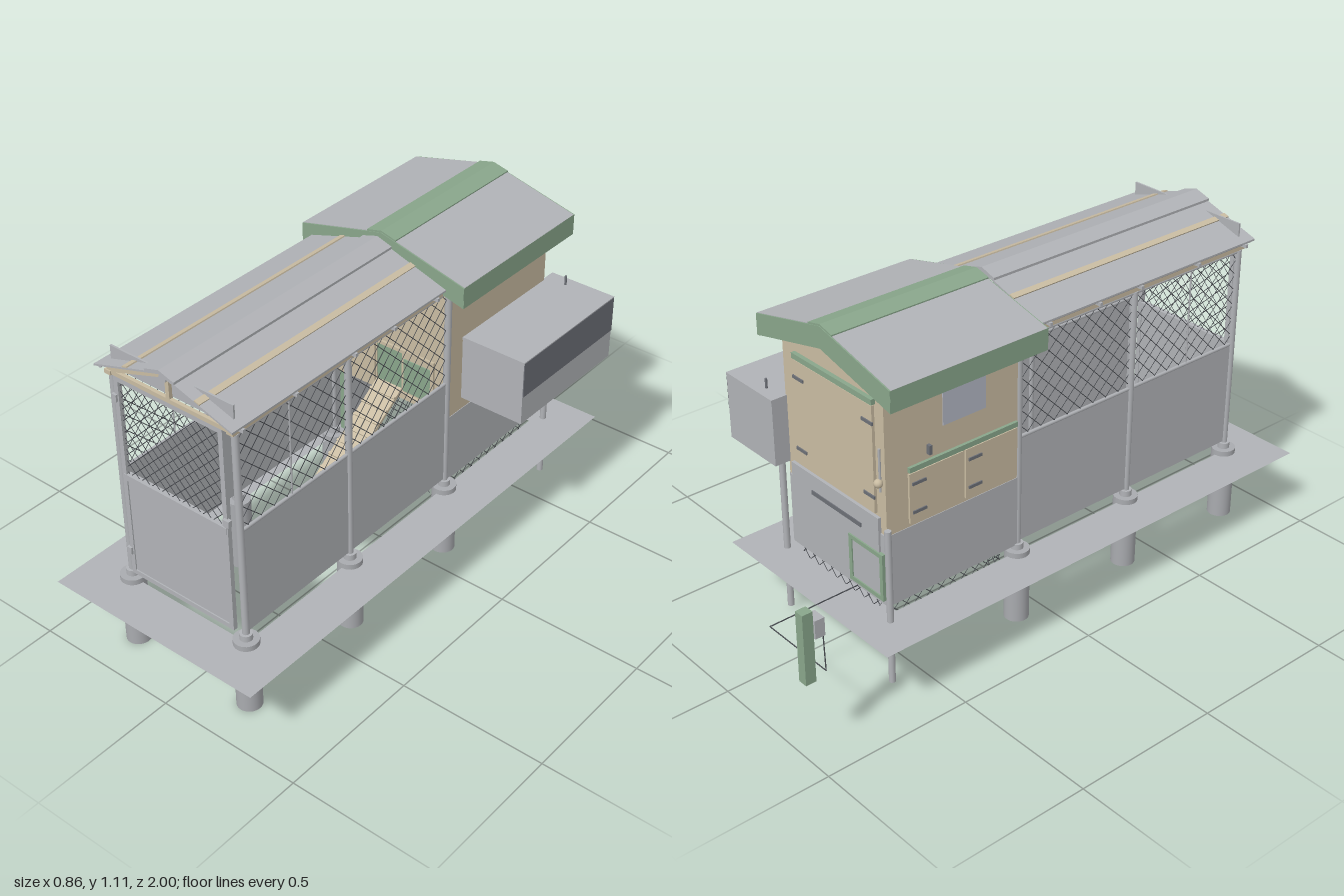
import * as THREE from 'three';
import { mergeGeometries } from 'three/addons/utils/BufferGeometryUtils.js';

const flat = (name, color) => {
  const m = new THREE.MeshStandardMaterial({ color, side: THREE.DoubleSide });
  m.name = name;
  return m;
};

export function createModel() {
  const model = new THREE.Group();
  model.name = 'chickenCoop';
  const grey = flat('galvanisedGrey', 0xb1b3b7), concrete = flat('concreteGrey', 0xa9abaf);
  const green = flat('sageGreen', 0x89a68b), wood = flat('paleWood', 0xc9bca2);
  const dark = flat('darkGrey', 0x6d7077), wire = flat('wireGrey', 0x4a4d52);
  const glass = flat('windowGrey', 0xb3b7c4);
  const C = -0.04, L = -0.27, R = 0.19; // centre line and side walls

  const add = (name, geo, mat, parent = model) => {
    const m = new THREE.Mesh(geo, mat);
    m.name = name;
    parent.add(m);
    return m;
  };
  const box = (name, mat, x0, x1, y0, y1, z0, z1) =>
    add(name, new THREE.BoxGeometry(x1 - x0, y1 - y0, z1 - z0)
      .translate((x0 + x1) / 2, (y0 + y1) / 2, (z0 + z1) / 2), mat);
  const barGeo = (a, b, r, sides = 10) => {
    const p = new THREE.Vector3(...a), d = new THREE.Vector3(...b).sub(p);
    const g = new THREE.CylinderGeometry(r, r, d.length(), sides);
    g.applyQuaternion(new THREE.Quaternion().setFromUnitVectors(new THREE.Vector3(0, 1, 0), d.clone().normalize()));
    return g.translate(p.x + d.x / 2, p.y + d.y / 2, p.z + d.z / 2);
  };
  const bar = (name, mat, a, b, r, sides) => add(name, barGeo(a, b, r, sides), mat);

  // diamond wire netting, clipped to a rectangle; place(u, v) gives the 3D point
  const netting = (name, u0, u1, v0, v1, step, place) => {
    const parts = [], w = u1 - u0, h = v1 - v0;
    for (let c = step / 2 - h; c < w; c += step) {
      const s = Math.max(c, 0), e = Math.min(c + h, w);
      if (e - s < 0.004) continue;
      for (const flip of [false, true]) {
        const u = (t) => (flip ? u1 - t : u0 + t);
        parts.push(barGeo(place(u(s), v0 + s - c), place(u(e), v0 + e - c), 0.0012, 4));
      }
    }
    add(name, mergeGeometries(parts), wire);
  };
  const atX = (x) => (u, v) => [x, v, u];
  const atZ = (z) => (u, v) => [u, v, z];

  // gabled band (constant vertical thickness) extruded along z
  const gable = (name, mat, cx, half, apex, eave, thick, z0, z1) => {
    const s = new THREE.Shape([[-half, eave], [0, apex], [half, eave], [half, eave - thick],
      [0, apex - thick], [-half, eave - thick]].map(([x, y]) => new THREE.Vector2(cx + x, y)));
    add(name, new THREE.ExtrudeGeometry(s, { depth: z1 - z0, bevelEnabled: false }).translate(0, 0, z0), mat);
  };
  const rectPath = (x0, x1, y0, y1, Kind = THREE.Path) =>
    new Kind([[x0, y0], [x1, y0], [x1, y1], [x0, y1]].map((p) => new THREE.Vector2(...p)));
  const frame = (name, mat, x0, x1, y0, y1, t, z0, z1) => {
    const s = rectPath(x0, x1, y0, y1, THREE.Shape);
    s.holes.push(rectPath(x0 + t, x1 - t, y0 + t, y1 - t));
    return add(name, new THREE.ExtrudeGeometry(s, { depth: z1 - z0, bevelEnabled: false }).translate(0, 0, z0), mat);
  };

  // ground apron around the footprint
  const apron = rectPath(-0.43, 0.35, -1, 0.73, THREE.Shape);
  apron.holes.push(rectPath(L, R, -0.84, 0.57));
  add('groundApron', new THREE.ShapeGeometry(apron).rotateX(-Math.PI / 2).translate(0, 0.237, 0), grey);

  // piers, collars and run posts
  const bays = [0.84, 0.375, -0.095];
  for (const x of [L, R]) {
    for (const z of bays) {
      bar('pier', concrete, [x, 0, z], [x, 0.255, z], 0.04, 24);
      bar('postCollar', grey, [x, 0.255, z], [x, 0.275, z], 0.02, 16);
      bar('runPost', grey, [x, 0.26, z], [x, 0.98, z], 0.0115, 12);
    }
    const out = x < C ? -0.03 : 0.025;
    bar('rearStake', grey, [x + out, 0.02, -0.615], [x + out, 0.55, -0.615], 0.0105, 12);
    // side of the run: solid skirt below, netting above
    box('runSidePanel', grey, x - 0.004, x + 0.004, 0.28, 0.645, -0.095, 0.85);
    for (const y of [0.645, 0.975]) bar('runRail', grey, [x, y, -0.095], [x, y, 0.84], 0.006, 8);
    bar('slimPost', grey, [x, 0.645, 0.625], [x, 0.975, 0.625], 0.003, 6);
    netting('sideNetting', -0.09, 0.84, 0.65, 0.97, 0.054, atX(x));
    box('eavePlate', wood, x - 0.012, x + 0.012, 0.983, 0.997, -0.05, 0.86);
    bar('eaveRail', grey, [x + Math.sign(x - C) * 0.018, 1.008, -0.04], [x + Math.sign(x - C) * 0.018, 1.008, 0.87], 0.006, 8);
    for (const z of [0.84, 0.625, 0.375, 0.2, 0]) box('eaveBracket', grey, x - 0.035, x + 0.035, 0.997, 1.008, z - 0.005, z + 0.005);
  }

  // front door of the run
  frame('doorFrame', grey, -0.256, 0.155, 0.272, 0.982, 0.016, 0.838, 0.853);
  box('doorMidRail', grey, -0.25, 0.15, 0.624, 0.645, 0.836, 0.855);
  box('doorPanel', grey, -0.245, 0.147, 0.282, 0.63, 0.841, 0.849);
  netting('doorNetting', -0.24, 0.14, 0.645, 0.97, 0.04, atZ(0.845));
  for (const y of [0.36, 0.91]) box('doorHinge', grey, -0.262, -0.245, y - 0.012, y + 0.012, 0.85, 0.86);
  box('doorLatch', grey, 0.145, 0.168, 0.658, 0.68, 0.848, 0.862);
  bar('frontTopRail', grey, [L, 0.98, 0.84], [R, 0.98, 0.84], 0.008, 8);

  // trusses
  for (const z of [0.85, 0.61, 0.375, 0.14]) {
    gable('rafters', wood, C, 0.235, 1.083, 1.003, 0.016, z - 0.006, z + 0.006);
    box('tieBeam', wood, -0.275, 0.195, 0.985, 0.999, z - 0.006, z + 0.006);
    box('kingPost', wood, C - 0.007, C + 0.007, 0.99, 1.07, z - 0.006, z + 0.006);
  }
  box('gablePlate', grey, L, R, 1.0, 1.07, 0.835, 0.841);

  // run roof with ridge cap and battens
  gable('runRoof', grey, C, 0.26, 1.097, 1.016, 0.006, -0.04, 0.88);
  gable('runRidgeCap', grey, C, 0.055, 1.105, 1.088, 0.008, -0.04, 0.882);
  bar('ridgePole', grey, [C, 1.073, -0.04], [C, 1.073, 0.87], 0.014, 12);
  for (const s of [-1, 1]) {
    const x = C + s * 0.135, slope = s * Math.atan(0.081 / 0.26);
    const b = add('roofBatten', new THREE.BoxGeometry(0.02, 0.006, 0.92), wood);
    b.position.set(x, 1.056, 0.42);
    b.rotation.z = -slope;
  }

  // house walls: gabled ends, flat sides
  const endWall = (name, z, hole) => {
    const s = new THREE.Shape([[L, 0.51], [R, 0.51], [R, 1.0], [C, 1.085], [L, 1.0]].map((p) => new THREE.Vector2(...p)));
    if (hole) s.holes.push(hole);
    add(name, new THREE.ExtrudeGeometry(s, { depth: 0.012, bevelEnabled: false }).translate(0, 0, z), wood);
  };
  endWall('houseFrontWall', -0.112, rectPath(-0.09, 0.01, 0.53, 0.685));
  endWall('houseRearWall', -0.6);
  for (const x of [L, R]) {
    box('houseSideWall', wood, x - 0.006, x + 0.006, 0.51, 1.0, -0.6, -0.1);
    box('houseSideSkirt', grey, x - 0.008, x + 0.008, 0.27, 0.512, -0.6, -0.095);
    const o = x < C ? 1 : -1;
    for (const z of [-0.125, -0.585])
      box('houseLeg', green, x + o * 0.026 - 0.012, x + o * 0.026 + 0.012, 0.265, 0.51, z - 0.012, z + 0.012);
    box('sideWindow', glass, x - 0.009, x + 0.009, x < C ? 0.8 : 0.91, x < C ? 0.92 : 0.955, -0.39, -0.23);
    netting('digGuardSide', -0.6, -0.13, 0.155, 0.27, 0.045, atX(x + o * 0.04));
  }
  for (const z of [-0.13, -0.598]) netting('digGuardEnd', -0.23, 0.15, 0.155, 0.27, 0.045, atZ(z));
  box('houseFloor', wood, L, R, 0.505, 0.515, -0.6, -0.1);
  box('houseRearSkirt', grey, L, R, 0.27, 0.512, -0.604, -0.594);

  // house roof with fascia
  const H = -0.0425;
  gable('houseRoof', grey, H, 0.3125, 1.108, 1.031, 0.012, -0.632, -0.064);
  gable('houseRidgeCap', green, H, 0.055, 1.112, 1.0985, 0.006, -0.634, -0.062);
  for (const z of [-0.636, -0.07]) gable('gableFascia', green, H, 0.3125, 1.106, 1.03, 0.07, z, z + 0.01);
  for (const s of [-1, 1]) box('eaveFascia', green, H + s * 0.308 - 0.005, H + s * 0.308 + 0.005, 0.96, 1.03, -0.635, -0.061);

  // pop hole, its frame and sliding door, and the ramp
  frame('popHoleFrame', wood, -0.105, 0.14, 0.52, 0.695, 0.012, -0.1, -0.092);
  box('popDoor', green, -0.09, 0.01, 0.53, 0.685, -0.108, -0.104);
  box('popDoorPanel', green, 0.02, 0.125, 0.54, 0.66, -0.1, -0.096);
  box('frontVent', glass, -0.22, -0.12, 0.645, 0.68, -0.1, -0.096);
  bar('popDoorCord', wire, [-0.19, 0.65, -0.094], [-0.19, 0.98, -0.094], 0.0015, 4);
  const ramp = add('ramp', new THREE.BoxGeometry(0.1, 0.01, 0.48), wood);
  ramp.position.set(C, 0.405, 0.095);
  ramp.rotation.x = Math.atan2(0.265, 0.39);
  for (let i = 0; i < 9; i++)
    add('rampCleat', new THREE.BoxGeometry(0.1, 0.006, 0.008).translate(0, 0.008, -0.2 + i * 0.05), wood, ramp);

  // nest box on the left side
  box('nestBox', grey, R, 0.425, 0.555, 0.778, -0.655, -0.165);
  box('nestBoxLid', grey, R, 0.427, 0.77, 0.78, -0.656, -0.164);
  box('nestBoxFlap', dark, 0.424, 0.428, 0.655, 0.777, -0.654, -0.166);
  bar('nestBoxPin', dark, [0.265, 0.78, -0.62], [0.265, 0.812, -0.62], 0.004, 8);

  // rear door, hinges, clean-out tray and hatch
  box('rearDoor', wood, -0.235, 0.13, 0.575, 0.925, -0.61, -0.6);
  box('rearDoorHeader', green, -0.24, 0.135, 0.93, 0.948, -0.614, -0.6);
  for (const y of [0.63, 0.87]) for (const x of [-0.215, 0.11]) box('rearHinge', dark, x - 0.025, x + 0.025, y - 0.005, y + 0.005, -0.614, -0.609);
  box('trayFront', grey, -0.25, 0.17, 0.45, 0.565, -0.611, -0.6);
  box('traySlot', dark, -0.17, 0.07, 0.498, 0.512, -0.614, -0.61);
  box('rearHatch', grey, -0.26, -0.12, 0.3, 0.44, -0.612, -0.604);
  frame('rearHatchFrame', green, -0.27, -0.11, 0.29, 0.45, 0.014, -0.616, -0.604);
  bar('rearConduit', grey, [-0.262, 0.66, -0.608], [-0.262, 0.8, -0.608], 0.004, 8);
  add('rearLamp', new THREE.SphereGeometry(0.014, 12, 8).translate(-0.262, 0.69, -0.614), wood);

  // cupboard doors on the right side wall
  box('sideDoorHeader', green, L - 0.016, L - 0.005, 0.695, 0.712, -0.52, -0.11);
  for (const z of [-0.52, -0.31]) {
    box('sideDoor', wood, L - 0.013, L - 0.005, 0.525, 0.69, z, z + 0.2);
    for (const y of [0.56, 0.655]) box('sideHinge', dark, L - 0.017, L - 0.012, y - 0.005, y + 0.005, z + 0.01, z + 0.06);
  }
  box('sideLatch', dark, L - 0.02, L - 0.005, 0.73, 0.76, -0.45, -0.44);

  // power post and cable
  box('powerPost', green, -0.416, -0.384, 0.265, 0.5, -1.0, -0.965);
  box('powerBox', grey, -0.423, -0.378, 0.41, 0.47, -0.965, -0.932);
  box('powerSocket', dark, -0.411, -0.389, 0.425, 0.457, -0.933, -0.925);
  const route = [[-0.4, 0.43, -0.925], [-0.4, 0.27, -0.92], [-0.13, 0.27, -0.92], [-0.13, 0.27, -0.6]];
  for (let i = 0; i < 3; i++) bar('powerCable', wire, route[i], route[i + 1], 0.002, 6);

  return model;
}
